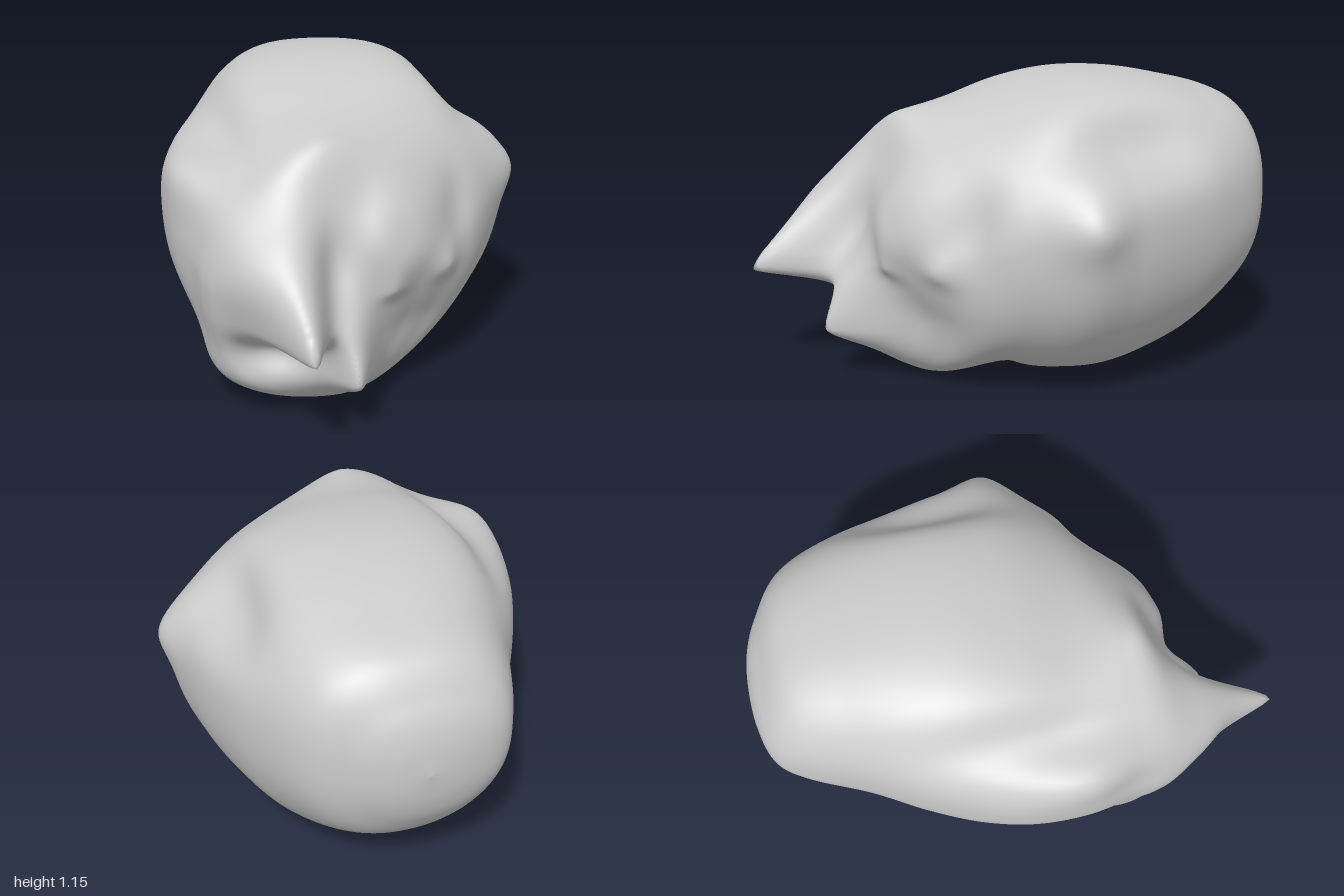
import * as THREE from 'three';

// Body cross-sections, back to front:
// z, left edge, right edge, bottom, top, ridge x, widest y, squareness of the upper half
const SECTIONS = [
  [-1.0, -0.01, -0.01, 0.65, 0.65, -0.01, 0.65, 2.2],
  [-0.98, -0.18, 0.12, 0.51, 0.79, -0.01, 0.65, 2.3],
  [-0.93, -0.31, 0.24, 0.39, 0.9, -0.01, 0.66, 2.4],
  [-0.82, -0.38, 0.39, 0.25, 1.03, 0, 0.66, 2.5],
  [-0.6, -0.46, 0.51, 0.1, 1.1, 0, 0.66, 2.5],
  [-0.4, -0.56, 0.58, 0.03, 1.14, 0, 0.66, 2.4],
  [-0.2, -0.64, 0.63, 0.0, 1.15, 0, 0.66, 2.3],
  [0.0, -0.68, 0.65, 0.02, 1.12, -0.02, 0.65, 2.2],
  [0.2, -0.67, 0.54, 0.04, 1.06, -0.08, 0.62, 2.0],
  [0.36, -0.62, 0.4, 0.0, 1.02, -0.14, 0.57, 1.75],
  [0.45, -0.6, 0.29, 0.03, 0.97, -0.16, 0.54, 1.65],
  [0.51, -0.56, 0.19, 0.1, 0.84, -0.18, 0.51, 1.75],
  [0.55, -0.45, 0.06, 0.22, 0.7, -0.2, 0.48, 2],
  [0.57, -0.22, -0.22, 0.47, 0.47, -0.22, 0.47, 2],
];

// Forward pushes on the face: x, y, height, reach left, right, down, up, sharpness
const FACE = [
  [-0.3, 0.42, 0.42, 0.12, 0.11, 0.09, 0.27, 1.4], // snout
  [-0.47, 0.62, 0.1, 0.13, 0.15, 0.18, 0.18, 2], // cheek
  [-0.17, 0.57, -0.06, 0.07, 0.08, 0.18, 0.17, 2], // groove beside the snout
  [0.1, 0.66, 0.05, 0.14, 0.17, 0.15, 0.2, 3], // face plate
  [0.37, 0.68, -0.05, 0.08, 0.08, 0.18, 0.16, 2], // groove beside the face plate
  [-0.1, 0.21, 0.22, 0.09, 0.09, 0.1, 0.24, 1.6], // fang
  [-0.34, 0.31, -0.1, 0.14, 0.12, 0.1, 0.07, 2], // mouth hollow
  [0.07, 0.48, 0.03, 0.06, 0.06, 0.04, 0.08, 1.6], // small teeth
  [0.31, 0.51, 0.05, 0.07, 0.06, 0.05, 0.1, 1.6],
  [0.16, 0.27, -0.06, 0.14, 0.2, 0.2, 0.14, 2], // hollow under teeth
  [-0.36, 0.14, 0.04, 0.2, 0.16, 0.12, 0.12, 2], // chin
];

// Sideways swellings and dents: centre, radii, amount along x, amount along y
const SIDES = [
  [0.69, 0.71, 0.02, 0.14, 0.11, 0.13, 0.05, 0],
  [0.5, 0.98, -0.24, 0.14, 0.16, 0.3, -0.07, -0.06],
  [-0.5, 0.98, 0.0, 0.12, 0.13, 0.42, 0.04, -0.05],
  [-0.58, 0.82, 0.22, 0.14, 0.12, 0.22, -0.05, 0.04],
  [-0.15, 1.02, 0.45, 0.14, 0.12, 0.09, 0, 0.02],
  [-0.5, 0.14, 0.33, 0.16, 0.14, 0.2, -0.06, -0.01],
  [0, 0.02, 0.16, 0.4, 0.1, 0.06, 0, 0.03],
];

function catmull(a, b, c, d, t) {
  return b + 0.5 * t * (c - a + t * (2 * a - 5 * b + 4 * c - d + t * (3 * (b - c) + d - a)));
}

function sectionAt(u) {
  const last = SECTIONS.length - 1;
  const i = Math.min(Math.floor(u), last - 1);
  const at = (k) => SECTIONS[Math.max(0, Math.min(last, k))];
  return SECTIONS[0].map((_, k) => catmull(at(i - 1)[k], at(i)[k], at(i + 1)[k], at(i + 2)[k], u - i));
}

function sculpt(p) {
  const { x, y, z } = p;
  for (const [cx, cy, cz, rx, ry, rz, ax, ay] of SIDES) {
    const w = Math.exp(-(((x - cx) / rx) ** 2) - ((y - cy) / ry) ** 2 - ((z - cz) / rz) ** 2);
    p.x += ax * w;
    p.y += ay * w;
  }
  const front = THREE.MathUtils.smoothstep(z, 0.15, 0.47);
  for (const [cx, cy, h, left, right, down, up, power] of FACE) {
    const dx = (x - cx) / (x < cx ? left : right);
    const dy = (y - cy) / (y < cy ? down : up);
    p.z += front * h * Math.exp(-(Math.hypot(dx, dy) ** power));
  }
  return p;
}

function headGeometry(steps = 16, around = 144) {
  const rings = (SECTIONS.length - 1) * steps;
  const positions = [];
  const index = [];
  for (let i = 0; i <= rings; i++) {
    const [z, l, r, b, t, cx, cy, square] = sectionAt(i / steps);
    for (let j = 0; j < around; j++) {
      const a = (j / around) * Math.PI * 2;
      const c = Math.cos(a);
      const s = Math.sin(a);
      // superellipse outline
      const n = s > 0 ? square : 2.15;
      const k = (Math.abs(c) ** n + Math.abs(s) ** n) ** (-1 / n);
      const x = cx + k * c * (c > 0 ? r - cx : cx - l);
      const y = cy + k * s * (s > 0 ? t - cy : cy - b);
      positions.push(...sculpt(new THREE.Vector3(x, y, z)).toArray());
      if (i === rings) continue;
      const row = i * around;
      const next = (j + 1) % around;
      index.push(row + j, row + next, row + around + j, row + next, row + around + next, row + around + j);
    }
  }
  const geometry = new THREE.BufferGeometry();
  geometry.setAttribute('position', new THREE.Float32BufferAttribute(positions, 3));
  geometry.setIndex(index);
  geometry.computeVertexNormals();
  return geometry;
}

export function createModel() {
  const group = new THREE.Group();
  group.name = 'creatureHead';
  const head = new THREE.Mesh(headGeometry(), new THREE.MeshStandardMaterial({ color: 0xcccccc }));
  head.name = 'head';
  group.add(head);
  return group;
}
